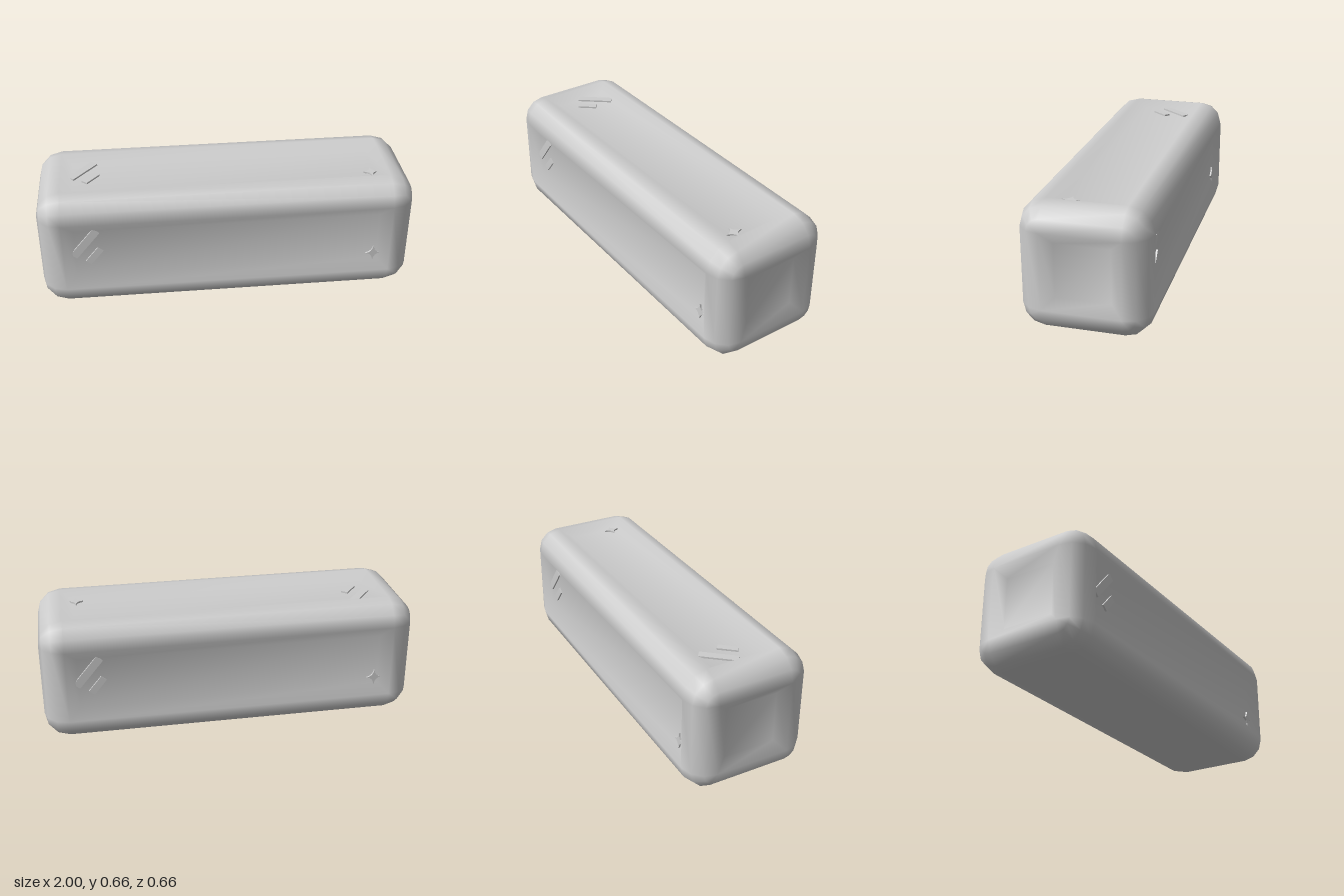
import * as THREE from 'three';
import { mergeVertices } from 'three/addons/utils/BufferGeometryUtils.js';

const FLAT_X = 0.871, FLAT = 0.2, R = 0.129; // flat half-sizes and edge radius
const SEG = 3;                               // facets per rounded edge
const SLOPE = 0.06, DEPTH = 0.04;            // recess wall width and depth
const HALF = FLAT + R;

const V = (x, y, z) => new THREE.Vector3(x, y, z);

// Smooth shell: rounded-square cross-sections along x, plus six recessed panels
function shellGeometry() {
  const pos = [];
  const tri = (a, b, c) => {
    const area = b.clone().sub(a).cross(c.clone().sub(a)).length();
    if (area > 1e-7) for (const p of [a, b, c]) pos.push(p.x, p.y, p.z);
  };
  const quad = (a, b, c, d) => { tri(a, b, c); tri(a, c, d); };

  // Cross-section with corner radius r, counter-clockwise seen from +x
  const section = (x, r) => {
    const pts = [];
    [[1, 1], [-1, 1], [-1, -1], [1, -1]].forEach(([sy, sz], k) => {
      for (let i = 0; i <= SEG; i++) {
        const a = (k + i / SEG) * Math.PI / 2;
        pts.push(V(x, sy * FLAT + r * Math.cos(a), sz * FLAT + r * Math.sin(a)));
      }
    });
    return pts;
  };
  const loops = [];
  for (const side of [-1, 1]) {
    for (let i = 0; i <= SEG; i++) {
      const t = (side < 0 ? SEG - i : i) / SEG * Math.PI / 2;
      loops.push(section(side * (FLAT_X + R * Math.sin(t)), R * Math.cos(t)));
    }
  }
  for (let l = 0; l < loops.length - 1; l++) {
    const A = loops[l], B = loops[l + 1], n = A.length;
    for (let i = 0; i < n; i++) {
      const j = (i + 1) % n;
      // the long flat sides stay open for the panels
      if (l === SEG && i % (SEG + 1) === SEG) continue;
      quad(A[i], A[j], B[j], B[i]);
    }
  }

  // Recessed panel facing +z, turned into place
  const panel = (hu, h, rx, ry) => {
    const m = new THREE.Matrix4().makeRotationFromEuler(new THREE.Euler(rx, ry, 0));
    const ring = (inset, z) => [[-1, -1], [1, -1], [1, 1], [-1, 1]].map(([u, v]) =>
      V(u * (hu - inset), v * (FLAT - inset), z).applyMatrix4(m));
    const rim = ring(0, h), floor = ring(SLOPE, h - DEPTH);
    for (let i = 0; i < 4; i++) {
      const j = (i + 1) % 4;
      quad(rim[i], rim[j], floor[j], floor[i]);
    }
    quad(...floor);
  };
  const q = Math.PI / 2;
  for (const rx of [0, q, 2 * q, -q]) panel(FLAT_X, HALF, rx, 0);
  for (const ry of [q, -q]) panel(FLAT, FLAT_X + R, 0, ry);

  const raw = new THREE.BufferGeometry();
  raw.setAttribute('position', new THREE.Float32BufferAttribute(pos, 3));
  const geo = mergeVertices(raw, 1e-4);
  geo.computeVertexNormals();
  return geo;
}

// Four-pointed star with inward curving sides
function starShape(rx, ry) {
  const s = new THREE.Shape();
  const tips = [[rx, 0], [0, ry], [-rx, 0], [0, -ry]];
  s.moveTo(rx, 0);
  for (let i = 1; i <= 4; i++) {
    const [x, y] = tips[i % 4], [px, py] = tips[i - 1];
    s.quadraticCurveTo((x + px) * 0.12, (y + py) * 0.12, x, y);
  }
  return s;
}

export function createModel() {
  const group = new THREE.Group();
  const grey = new THREE.MeshStandardMaterial({ color: 0xcccccc });
  grey.name = 'light grey';

  const body = new THREE.Group();
  body.name = 'block';
  body.position.y = HALF;
  group.add(body);

  const shell = new THREE.Mesh(shellGeometry(), grey);
  shell.name = 'shell';
  body.add(shell);

  // Thin raised shine marks on the front, top and back panels
  const barGeo = (l, w) => new THREE.BoxGeometry(l, w, 0.009);
  const longBar = barGeo(0.195, 0.042), shortBar = barGeo(0.105, 0.036);
  const star = new THREE.ExtrudeGeometry(starShape(0.04, 0.045),
    { depth: 0.009, bevelEnabled: false, curveSegments: 4 });
  const floorZ = HALF - DEPTH;

  const marks = (name, rx, ry) => {
    const g = new THREE.Group();
    g.name = name;
    g.rotation.set(rx, ry, 0);
    const add = (n, geo, x, y, z, turn) => {
      const mesh = new THREE.Mesh(geo, grey);
      mesh.name = n;
      mesh.position.set(x, y, z);
      mesh.rotation.z = turn;
      g.add(mesh);
    };
    add('longShineBar', longBar, -0.757, 0.067, floorZ + 0.0045, 0.88);
    add('shortShineBar', shortBar, -0.712, -0.013, floorZ + 0.0045, 0.88);
    add('sparkle', star, 0.79, -0.105, floorZ, 0);
    body.add(g);
  };
  marks('frontMarks', 0, 0);
  marks('topMarks', -Math.PI / 2, 0);
  marks('backMarks', 0, Math.PI);

  return group;
}
